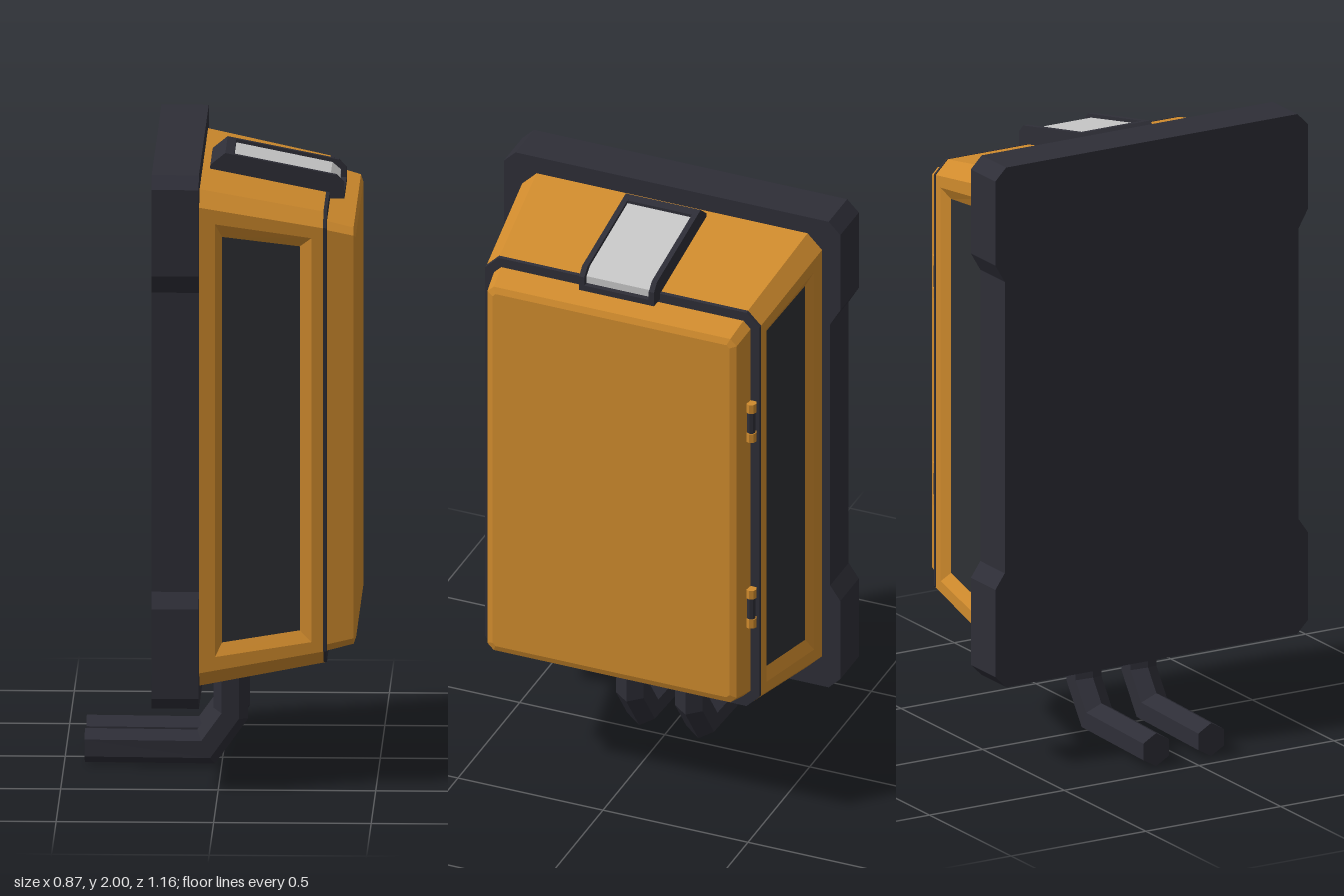
import * as THREE from 'three';

const mat = (name, color, extra = {}) => {
  const m = new THREE.MeshStandardMaterial({ color, flatShading: true, ...extra });
  m.name = name;
  return m;
};

// Skin a list of rings (counter-clockwise seen from the last ring); caps fan from the ring centre.
function loft(rings, { start = false, end = false, skip = [] } = {}) {
  const pos = [];
  const tri = (...pts) => pts.forEach((p) => pos.push(p.x, p.y, p.z));
  const n = rings[0].length;
  for (let r = 0; r + 1 < rings.length; r++) {
    for (let i = 0; i < n; i++) {
      if (skip.includes(i)) continue;
      const j = (i + 1) % n;
      const [a, b, c, d] = [rings[r][i], rings[r][j], rings[r + 1][j], rings[r + 1][i]];
      tri(a, b, c);
      tri(a, c, d);
    }
  }
  const cap = (ring, flip) => {
    const mid = ring.reduce((s, p) => s.add(p), new THREE.Vector3()).divideScalar(n);
    ring.forEach((p, i) => {
      const q = ring[(i + 1) % n];
      if (flip) tri(mid, q, p); else tri(mid, p, q);
    });
  };
  if (start) cap(rings[0], true);
  if (end) cap(rings[rings.length - 1], false);
  const g = new THREE.BufferGeometry();
  g.setAttribute('position', new THREE.Float32BufferAttribute(pos, 3));
  g.computeVertexNormals();
  return g;
}

const V = (x, y, z) => new THREE.Vector3(x, y, z);

// Rectangle with cut corners, lying across x
const cutRect = (x, y0, y1, z, c) => [
  [-z, y0 + c], [-z, y1 - c], [-z + c, y1], [z - c, y1],
  [z, y1 - c], [z, y0 + c], [z - c, y0], [-z + c, y0],
].map(([pz, py]) => V(x, py, pz));

// Side profile in x and y, extruded along z about z = zc
function slab(points, width, zc = 0) {
  const shape = new THREE.Shape(points.map(([x, y]) => new THREE.Vector2(x, y)));
  return new THREE.ExtrudeGeometry(shape, { depth: width, bevelEnabled: false })
    .translate(0, 0, zc - width / 2);
}

export function createModel() {
  const orange = mat('orange shell', 0xd08b2d);
  const dark = mat('dark frame', 0x2e2e37);
  const panelMat = mat('dark panel', 0x2e3034);
  const grey = mat('latch grey', 0xc6c6c6);

  const model = new THREE.Group();
  model.name = 'wallBox';
  const add = (name, geo, material, parent = model) => {
    const m = new THREE.Mesh(geo, material);
    m.name = name;
    parent.add(m);
    return m;
  };

  // Back plate with thicker corners
  const half = [[0.54, 0.27], [0.58, 0.31], [0.58, 0.6], [0.545, 0.65],
    [0.545, 1.62], [0.58, 1.68], [0.58, 1.96], [0.54, 2.0]];
  const plateRing = (x) => [
    ...half.map(([z, y]) => V(x, y, -z)),
    ...[...half].reverse().map(([z, y]) => V(x, y, z)),
  ];
  add('backPlate', loft([plateRing(-0.21), plateRing(-0.06)], { start: true, end: true }), dark);

  // Tapered housing, its two flat sides left open for the recesses
  add('housing', loft([
    cutRect(-0.06, 0.33, 1.94, 0.517, 0.05),
    cutRect(0.34, 0.4, 1.86, 0.472, 0.045),
  ], { skip: [0, 4] }), orange);

  // Recessed side panels
  const outer = [[-0.06, 0.38], [0.34, 0.445], [0.34, 1.815], [-0.06, 1.89]];
  const lip = [[-0.01, 0.432], [0.295, 0.475], [0.295, 1.785], [-0.01, 1.835]];
  const inner = [[0.012, 0.475], [0.258, 0.51], [0.258, 1.755], [0.012, 1.79]];
  for (const s of [1, -1]) {
    const quad = (pts, depth) => {
      const q = pts.map(([x, y]) => V(x, y, s * (0.517 - (x + 0.06) * 0.1125 - depth)));
      return s > 0 ? q : q.reverse();
    };
    const side = s > 0 ? 'left' : 'right';
    const floor = quad(inner, 0.02);
    add(side + 'Frame', loft([quad(outer, 0), quad(lip, 0), floor]), orange);
    add(side + 'Panel', loft([floor], { end: true }), panelMat);
  }

  // Dark seal between housing and door
  add('seal', loft([
    cutRect(0.332, 0.4, 1.863, 0.474, 0.045),
    cutRect(0.343, 0.4, 1.861, 0.473, 0.045),
  ], { start: true, end: true }), dark);

  // Door with a bevelled face
  add('door', loft([
    cutRect(0.34, 0.435, 1.83, 0.443, 0.025),
    cutRect(0.427, 0.456, 1.806, 0.43, 0.022),
    cutRect(0.435, 0.477, 1.785, 0.408, 0.01),
  ], { end: true }), orange);

  // Hinges on the right edge
  for (const y of [1.47, 0.78]) {
    const hinge = new THREE.Group();
    hinge.name = 'hinge';
    hinge.position.set(0.356, y, -0.45);
    model.add(hinge);
    for (const s of [1, -1]) {
      const knuckle = add('hingeKnuckle', new THREE.CylinderGeometry(0.018, 0.018, 0.032, 8), orange, hinge);
      knuckle.position.y = s * 0.054;
    }
    add('hingePin', new THREE.CylinderGeometry(0.014, 0.014, 0.08, 8), dark, hinge);
  }

  // Latch over the top edge
  const latch = new THREE.Group();
  latch.name = 'latch';
  model.add(latch);
  const cheek = [[-0.04, 1.92], [-0.035, 1.948], [0.012, 1.986], [0.365, 1.916],
    [0.39, 1.89], [0.39, 1.84], [0.34, 1.84], [0.3, 1.86]].reverse();
  for (const s of [1, -1]) add('latchCheek', slab(cheek, 0.018, s * 0.12), dark, latch);
  add('latchRear', slab([[-0.04, 1.92], [0.04, 1.9], [0.04, 1.98], [0.012, 1.986], [-0.035, 1.948]], 0.224), dark, latch);
  add('latchPlate', slab([[0.04, 1.9], [0.34, 1.85], [0.372, 1.855], [0.372, 1.885],
    [0.345, 1.908], [0.04, 1.97]], 0.224), grey, latch);
  add('latchLip', new THREE.BoxGeometry(0.05, 0.02, 0.224).translate(0.365, 1.85, 0), dark, latch);

  // Two bent six-sided pipes below; each ring is mitred at its bend
  const path = [[0.028, 0.37, 0, 1, 0], [0.028, 0.163, 0, 1, 0.25],
    [-0.05, 0.054, 0.25, 0.25, 1], [-0.435, 0.054, 0, 0, 1]];
  const centres = path.map(([x, y]) => new THREE.Vector2(x, y));
  const R = 0.055;
  for (const z0 of [0.097, -0.107]) {
    const rings = centres.map((p, k) => {
      const before = centres[Math.max(k - 1, 0)], after = centres[Math.min(k + 1, 3)];
      const d1 = (k > 0 ? p.clone().sub(before) : after.clone().sub(p)).normalize();
      const d2 = (k < 3 ? after.clone().sub(p) : p.clone().sub(before)).normalize();
      const t = d1.clone().add(d2).normalize();
      const stretch = 1 / t.dot(d1);
      const z = z0 + (k === 3 ? -0.013 : 0);
      return Array.from({ length: 6 }, (_, i) => {
        const a = (i * Math.PI) / 3;
        const u = Math.cos(a) * R * stretch;
        return V(p.x - t.y * u, p.y + t.x * u, z + Math.sin(a) * R);
      });
    });
    add('pipe', loft(rings, { start: true, end: true }), dark);
  }
  return model;
}
